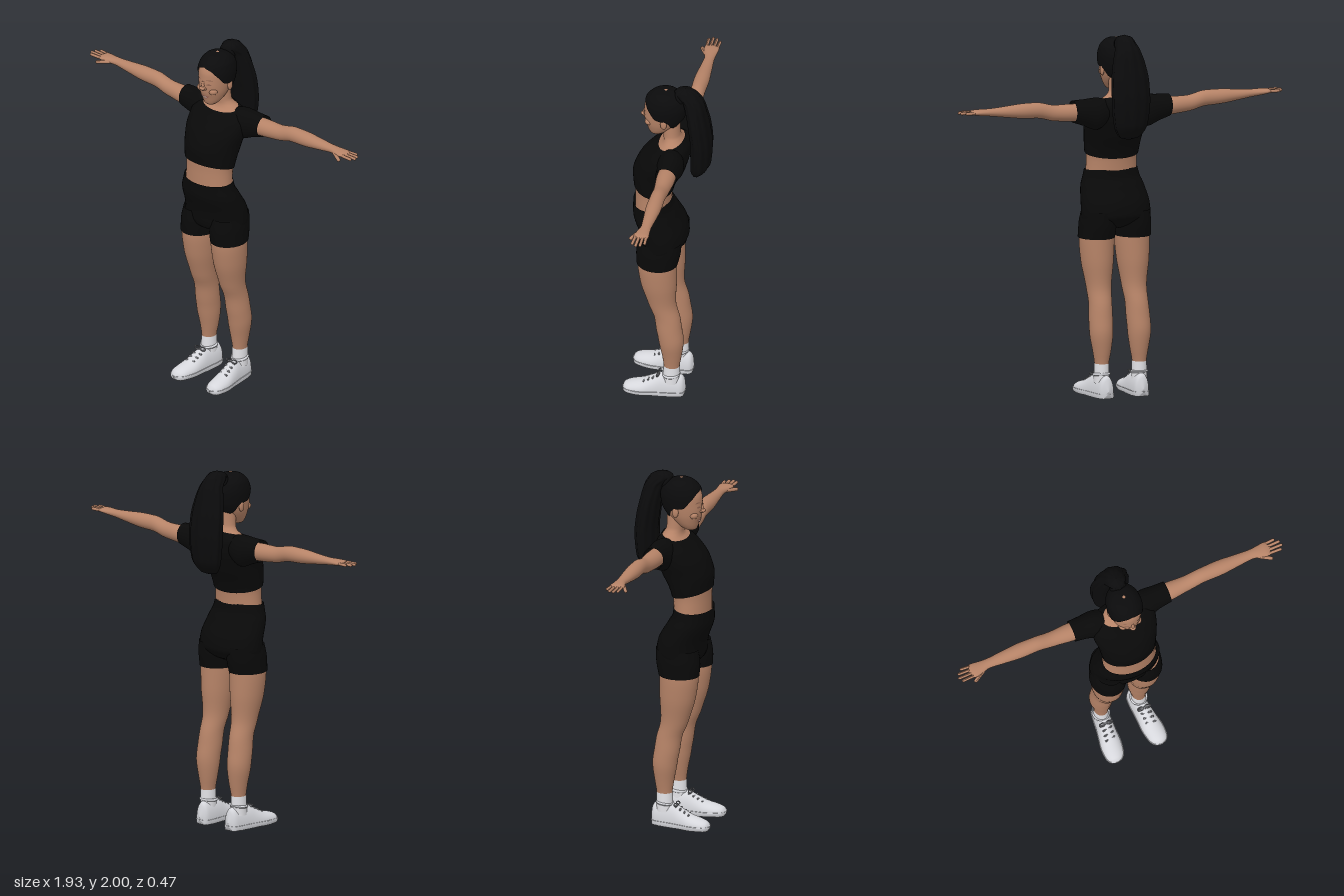
import * as THREE from 'three';

const material = (name, color) => {
  const m = new THREE.MeshStandardMaterial({ color, side: THREE.DoubleSide });
  m.name = name;
  return m;
};

// Smooth, overshoot-free interpolation of table rows keyed by their first column
function sample(rows, t) {
  const n = rows.length;
  let i = 0;
  while (i < n - 2 && t > rows[i + 1][0]) i++;
  const secant = (k, c) => (rows[k + 1][c] - rows[k][c]) / (rows[k + 1][0] - rows[k][0]);
  const slope = (k, c) => {
    if (k === 0) return secant(0, c);
    if (k === n - 1) return secant(n - 2, c);
    const a = secant(k - 1, c), b = secant(k, c);
    return a * b <= 0 ? 0 : (2 * a * b) / (a + b);
  };
  const h = rows[i + 1][0] - rows[i][0];
  const u = THREE.MathUtils.clamp((t - rows[i][0]) / h, 0, 1);
  return rows[i].map((p, c) => {
    const q = rows[i + 1][c];
    return p + (q - p) * u * u * (3 - 2 * u)
      + h * u * (1 - u) * ((1 - u) * slope(i, c) - u * slope(i + 1, c));
  });
}

// Skin elliptical sections [y, cx, cz, rx, rz]; lo and hi may vary with the angle (0 = front)
function loft(rows, o = {}) {
  const { nu = 40, nv = 36, grow = 0, from = -Math.PI, to = Math.PI, ripple = 0, map } = o;
  const lo = o.lo ?? (() => rows[0][0]);
  const hi = o.hi ?? (() => rows[rows.length - 1][0]);
  const full = to - from > 6.28, cols = full ? nu : nu + 1;
  const pos = [], index = [];
  for (let j = 0; j <= nv; j++) for (let i = 0; i < cols; i++) {
    const a = from + (to - from) * i / nu;
    const y = lo(a) + (hi(a) - lo(a)) * j / nv;
    const [, cx, cz, rx, rz] = sample(rows, y);
    const k = 1 + ripple * Math.cos(10 * a);
    const p = [cx + (rx * k + grow) * Math.sin(a), y, cz + (rz * k + grow) * Math.cos(a)];
    pos.push(...(map ? map(...p) : p));
  }
  for (let j = 0; j < nv; j++) for (let i = 0; i < nu; i++) {
    const a = j * cols + i, b = j * cols + (i + 1) % cols;
    index.push(a, b, b + cols, a, b + cols, a + cols);
  }
  const g = new THREE.BufferGeometry();
  g.setAttribute('position', new THREE.Float32BufferAttribute(pos, 3));
  g.setIndex(index);
  g.computeVertexNormals();
  return g;
}

function mirrored(g) {
  const m = g.clone().scale(-1, 1, 1), ix = m.index.array;
  for (let i = 0; i < ix.length; i += 3) [ix[i], ix[i + 1]] = [ix[i + 1], ix[i]];
  m.computeVertexNormals();
  return m;
}

// Rounded rod between two points
function rod(a, b, r) {
  const p = new THREE.Vector3(...a), q = new THREE.Vector3(...b), d = q.clone().sub(p);
  const g = new THREE.CapsuleGeometry(r, d.length(), 4, 10);
  g.applyQuaternion(new THREE.Quaternion().setFromUnitVectors(new THREE.Vector3(0, 1, 0), d.normalize()));
  return g.translate(...p.add(q).multiplyScalar(0.5).toArray());
}

const ball = (x, y, z, sx, sy, sz) => new THREE.SphereGeometry(1, 20, 14).scale(sx, sy, sz).translate(x, y, z);

export function createModel() {
  const skin = material('skin', 0xb68367);
  const shade = material('darker skin', 0x8e6350);
  const lip = material('lips', 0xa0665a);
  const teeth = material('teeth', 0xd8c4b4);
  const hair = material('hair', 0x0b0b0c);
  const cloth = material('black cloth', 0x090909);
  const white = material('shoe white', 0xd6d7dc);
  const sockWhite = material('sock white', 0xe2e2e6);
  const grey = material('lace grey', 0x88898e);

  const model = new THREE.Group();
  model.name = 'standing woman';
  const add = (name, g, mat) => {
    const m = new THREE.Mesh(g, mat);
    m.name = name;
    model.add(m);
  };
  const pair = (name, g, mat) => {
    add('left ' + name, g, mat);
    add('right ' + name, mirrored(g), mat);
  };

  // Torso and neck, with the cropped shirt as a shell around them
  const torso = [
    [1.15, 0, 0.08, 0.16, 0.105], [1.22, 0, 0.092, 0.147, 0.098], [1.3, 0, 0.09, 0.144, 0.1],
    [1.36, 0, 0.083, 0.15, 0.11], [1.45, 0, 0.06, 0.16, 0.134], [1.52, 0, 0.035, 0.174, 0.129],
    [1.58, 0, 0.005, 0.178, 0.104], [1.62, 0, -0.015, 0.155, 0.08], [1.65, 0, -0.02, 0.09, 0.056],
    [1.68, 0, -0.01, 0.058, 0.048], [1.78, 0, -0.003, 0.052, 0.05],
  ];
  add('torso and neck', loft(torso), skin);
  add('cropped shirt', loft(torso, {
    grow: 0.007, lo: a => 1.33 + 0.024 * Math.cos(a), hi: a => 1.645 - 0.015 * Math.cos(a),
  }), cloth);

  // Arms and sleeves, rows run outwards along x: [x, -y, z, ry, rz]
  const sideways = (x, y, z) => [y, -x, z];
  pair('sleeve', loft([
    [0.07, -1.58, -0.025, 0.06, 0.06], [0.15, -1.567, -0.033, 0.088, 0.074],
    [0.22, -1.578, -0.036, 0.073, 0.064], [0.285, -1.588, -0.036, 0.061, 0.059],
  ], { map: sideways, nv: 16 }), cloth);
  pair('arm', loft([
    [0.15, -1.575, -0.035, 0.05, 0.05], [0.28, -1.582, -0.037, 0.049, 0.051],
    [0.4, -1.589, -0.039, 0.044, 0.042], [0.5, -1.611, -0.04, 0.043, 0.04],
    [0.58, -1.613, -0.04, 0.041, 0.042], [0.7, -1.616, -0.04, 0.029, 0.034],
    [0.78, -1.619, -0.04, 0.021, 0.028], [0.83, -1.621, -0.035, 0.018, 0.036],
    [0.87, -1.623, -0.033, 0.014, 0.042], [0.895, -1.624, -0.033, 0.009, 0.038],
    [0.9, -1.624, -0.033, 0, 0],
  ], { map: sideways }), skin);
  [[-0.066, 0.928], [-0.045, 0.95], [-0.022, 0.956], [0, 0.942]].forEach(([z, x], i) =>
    pair('finger ' + (i + 1), rod([0.875, 1.623, z * 0.9 - 0.003], [x, 1.624, z], 0.0085), skin));
  pair('thumb', rod([0.82, 1.616, -0.01], [0.878, 1.608, 0.022], 0.0105), skin);

  // Legs
  pair('leg', loft([
    [0.08, 0.112, -0.032, 0.036, 0.04], [0.18, 0.112, -0.032, 0.038, 0.043],
    [0.25, 0.111, -0.033, 0.049, 0.053], [0.36, 0.113, -0.029, 0.064, 0.069],
    [0.43, 0.111, -0.018, 0.065, 0.071], [0.51, 0.108, -0.006, 0.063, 0.071],
    [0.6, 0.105, 0.023, 0.068, 0.077], [0.75, 0.106, 0.043, 0.088, 0.101],
    [0.87, 0.105, 0.05, 0.095, 0.108], [0.98, 0.1, 0.045, 0.09, 0.1],
  ]), skin);

  // Shorts: a pelvis and two short legs
  add('shorts body', loft([
    [0.915, 0, 0.05, 0, 0], [0.925, 0, 0.05, 0.1, 0.06], [0.955, 0, 0.042, 0.19, 0.108],
    [1, 0, 0.03, 0.199, 0.13], [1.05, 0, 0.037, 0.197, 0.13], [1.15, 0, 0.08, 0.181, 0.12],
    [1.2, 0, 0.095, 0.163, 0.107], [1.24, 0, 0.098, 0.152, 0.104],
  ], { hi: a => 1.24 - 0.006 * Math.cos(a) }), cloth);
  pair('shorts leg', loft([
    [0.872, 0.107, 0.05, 0.099, 0.113], [0.95, 0.102, 0.043, 0.1, 0.122], [1.02, 0.1, 0.035, 0.09, 0.118],
  ], { nv: 12 }), cloth);

  // Socks and shoes, shoe rows run heel to toe: [z, x, -y, rx, ry]
  pair('sock', loft([
    [0.08, 0.112, -0.03, 0.042, 0.047], [0.14, 0.112, -0.031, 0.041, 0.046], [0.188, 0.112, -0.032, 0.04, 0.045],
  ], { nv: 6 }), sockWhite);
  const shoe = [
    [-0.11, 0.104, -0.04, 0, 0], [-0.104, 0.104, -0.04, 0.026, 0.055], [-0.08, 0.105, -0.035, 0.042, 0.09],
    [-0.03, 0.108, -0.03, 0.047, 0.1], [0.02, 0.112, -0.03, 0.049, 0.098], [0.07, 0.117, -0.028, 0.053, 0.077],
    [0.13, 0.123, -0.024, 0.058, 0.052], [0.19, 0.128, -0.022, 0.052, 0.038], [0.225, 0.13, -0.02, 0.034, 0.026],
    [0.238, 0.13, -0.02, 0, 0],
  ];
  const upright = (low, high) => (x, y, z) => [x, THREE.MathUtils.clamp(-z, low, high), y];
  pair('shoe upper', loft(shoe, { map: upright(0.01, 1) }), white);
  pair('shoe sole', loft(shoe, { map: upright(0, 0.026), grow: 0.004 }), white);
  pair('shoe opening', new THREE.TorusGeometry(0.042, 0.008, 8, 28).rotateX(Math.PI / 2 + 0.12)
    .translate(0.112, 0.128, -0.03), white);
  for (let i = 0; i < 4; i++) {
    const z = 0.035 + i * 0.025, [, x, c, , r] = sample(shoe, z), y = r - c;
    pair('lace ' + (i + 1), rod([x - 0.026, y - 0.008, z], [x + 0.026, y - 0.008, z + 0.008], 0.005), grey);
  }
  for (const s of [-1, 1]) {
    pair('lace bow', new THREE.TorusGeometry(0.014, 0.0035, 6, 18).scale(1.3, 0.7, 1).rotateX(-0.9)
      .translate(0.114 + s * 0.019, 0.125, 0.04), grey);
  }

  // Head
  const head = [
    [1.675, 0, 0.078, 0, 0], [1.682, 0, 0.078, 0.026, 0.028], [1.7, 0, 0.07, 0.046, 0.048],
    [1.73, 0, 0.058, 0.064, 0.07], [1.77, 0, 0.046, 0.078, 0.095], [1.82, 0, 0.034, 0.086, 0.111],
    [1.87, 0, 0.029, 0.09, 0.113], [1.92, 0, 0.026, 0.082, 0.098], [1.95, 0, 0.025, 0.062, 0.072],
    [1.965, 0, 0.025, 0.04, 0.046], [1.973, 0, 0.025, 0, 0],
  ];
  add('head', loft(head), skin);
  add('nose bridge', rod([0, 1.83, 0.138], [0, 1.803, 0.148], 0.009), skin);
  add('nose', ball(0, 1.796, 0.147, 0.017, 0.012, 0.018), skin);
  pair('nostril', ball(0.013, 1.793, 0.14, 0.009, 0.008, 0.011), skin);
  pair('cheek', ball(0.042, 1.776, 0.108, 0.025, 0.021, 0.026), skin);
  pair('ear', ball(0.086, 1.796, 0.02, 0.01, 0.03, 0.018), skin);

  // Facial details as thin patches that follow the head
  const patch = (y, mid, half, thick, bend, grow) => loft(head, {
    nu: 14, nv: 3, from: mid - half, to: mid + half, grow,
    lo: a => y + bend * ((a - mid) / half) ** 2 - thick * (1 - ((a - mid) / half) ** 2),
    hi: a => y + bend * ((a - mid) / half) ** 2 + thick * (1 - ((a - mid) / half) ** 2),
  });
  pair('eye', patch(1.822, 0.4, 0.17, 0.005, -0.003, 0.002), shade);
  pair('eyebrow', patch(1.848, 0.42, 0.24, 0.003, -0.006, 0.002), shade);
  add('lips', patch(1.737, 0, 0.44, 0.011, 0.009, 0.003), lip);
  add('smile', patch(1.738, 0, 0.34, 0.004, 0.007, 0.005), teeth);

  // Hair drawn back from the hairline into a high ponytail
  const hairline = [[0, 1.915], [0.45, 1.902], [0.9, 1.865], [1.3, 1.822], [1.8, 1.812], [2.3, 1.765], [3.15, 1.74]];
  add('hair cap', loft(head, { grow: 0.008, nu: 56, lo: a => sample(hairline, Math.abs(a))[1] }), hair);
  add('ponytail', loft([
    [1.43, 0, -0.145, 0, 0], [1.445, 0, -0.15, 0.055, 0.03], [1.52, 0, -0.17, 0.095, 0.054],
    [1.65, 0, -0.174, 0.108, 0.059], [1.75, 0, -0.164, 0.106, 0.059], [1.85, 0, -0.146, 0.09, 0.056],
    [1.925, 0, -0.125, 0.067, 0.056], [1.965, 0, -0.09, 0.052, 0.066], [1.99, 0, -0.083, 0.036, 0.038],
    [2, 0, -0.083, 0, 0],
  ], { nu: 80, nv: 44, ripple: 0.035 }), hair);
  add('hair tie', new THREE.TorusGeometry(0.036, 0.012, 8, 28).rotateX(0.5).translate(0, 1.94, -0.055), hair);

  return model;
}
